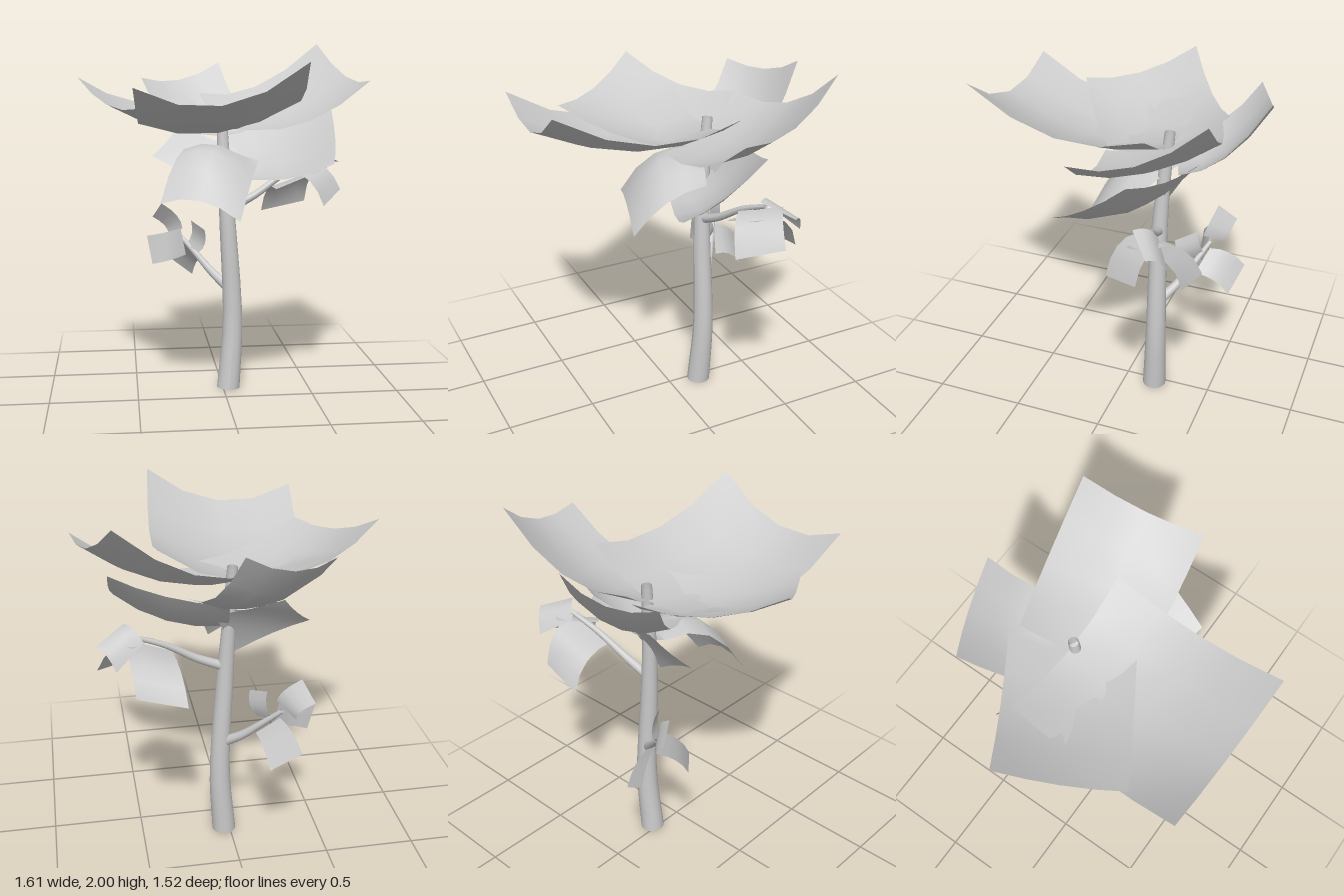
import * as THREE from 'three';

const plantMat = new THREE.MeshStandardMaterial({ color: 0xcccccc, side: THREE.DoubleSide });
const vec = (p) => new THREE.Vector3(...p);

// Tapered limb: an open cylinder bent along a smooth path
function limb(name, points, r0, r1) {
  const curve = new THREE.CatmullRomCurve3(points.map(vec));
  const geo = new THREE.CylinderGeometry(1, 1, 1, 16, 14, true);
  const pos = geo.attributes.position;
  const up = new THREE.Vector3(0, 1, 0);
  const turn = new THREE.Quaternion();
  const v = new THREE.Vector3();
  for (let i = 0; i < pos.count; i++) {
    const t = THREE.MathUtils.clamp(pos.getY(i) + 0.5, 0, 1);
    turn.setFromUnitVectors(up, curve.getTangent(t));
    v.set(pos.getX(i), 0, pos.getZ(i)).multiplyScalar(THREE.MathUtils.lerp(r0, r1, t));
    v.applyQuaternion(turn).add(curve.getPoint(t));
    pos.setXYZ(i, v.x, Math.max(v.y, 0), v.z);
  }
  geo.computeVertexNormals();
  const mesh = new THREE.Mesh(geo, plantMat);
  mesh.name = name;
  return mesh;
}

// Quadratic weights through the values at t = 0, 0.5 and 1
const weights = (t) => [(1 - t) * (1 - 2 * t), 4 * t * (1 - t), t * (2 * t - 1)];

// Curved leaf sheet through three cross-sections (root, middle, tip) of three points
function leaf(name, rows, seg = 4) {
  const geo = new THREE.PlaneGeometry(1, 1, seg, seg);
  const { position: pos, uv } = geo.attributes;
  const v = new THREE.Vector3();
  for (let i = 0; i < pos.count; i++) {
    const a = weights(uv.getX(i));
    const b = weights(uv.getY(i));
    v.set(0, 0, 0);
    rows.forEach((row, r) => row.forEach((p, c) => v.addScaledVector(vec(p), b[r] * a[c])));
    pos.setXYZ(i, v.x, v.y, v.z);
  }
  geo.computeVertexNormals();
  const mesh = new THREE.Mesh(geo, plantMat);
  mesh.name = name;
  return mesh;
}

// Small leaf from its four corners, arched along its length by a bow vector
function smallLeaf(name, rootA, rootB, tipA, tipB, bow) {
  const mid = (p, q) => p.map((n, i) => (n + q[i]) / 2);
  const arch = (p) => p.map((n, i) => n + bow[i]);
  const rootM = mid(rootA, rootB);
  const tipM = mid(tipA, tipB);
  return leaf(name, [
    [rootA, rootM, rootB],
    [arch(mid(rootA, tipA)), arch(mid(rootM, tipM)), arch(mid(rootB, tipB))],
    [tipA, tipM, tipB],
  ]);
}

export function createModel() {
  const plant = new THREE.Group();
  plant.name = 'plant';

  // Stem and the two side twigs
  plant.add(
    limb('stem', [[0.032, 0, -0.177], [0.058, 0.4, -0.19], [0.03, 0.95, -0.187], [0.01, 1.3, -0.2], [-0.004, 1.64, -0.228]], 0.067, 0.028),
    limb('upperTwig', [[0.03, 1.06, -0.19], [0.18, 1.13, -0.21], [0.35, 1.24, -0.25], [0.52, 1.32, -0.29]], 0.027, 0.012),
    limb('lowerTwig', [[0.03, 0.6, -0.2], [-0.05, 0.67, -0.27], [-0.14, 0.77, -0.34], [-0.24, 0.88, -0.41]], 0.03, 0.012),
  );

  // Crown of four large cupped leaves around the stem top
  const crown = new THREE.Group();
  crown.name = 'crownLeaves';
  crown.add(
    leaf('frontLeaf', [
      [[-0.465, 1.67, -0.26], [-0.04, 1.565, -0.24], [0.375, 1.75, -0.22]],
      [[-0.485, 1.575, 0.24], [-0.07, 1.525, 0.25], [0.365, 1.69, 0.26]],
      [[-0.52, 1.77, 0.72], [-0.1, 1.685, 0.735], [0.315, 1.89, 0.76]],
    ]),
    leaf('rightLeaf', [
      [[-0.17, 1.7, -0.5], [-0.01, 1.53, -0.22], [0.15, 1.57, 0.055]],
      [[-0.49, 1.67, -0.31], [-0.33, 1.54, -0.03], [-0.165, 1.57, 0.25]],
      [[-0.805, 1.81, -0.115], [-0.645, 1.67, 0.165], [-0.485, 1.66, 0.44]],
    ]),
    leaf('leftLeaf', [
      [[0.1, 1.53, 0.09], [-0.01, 1.55, -0.2], [-0.11, 1.71, -0.475]],
      [[0.45, 1.57, 0.05], [0.37, 1.6, -0.26], [0.24, 1.745, -0.57]],
      [[0.8, 1.79, 0.01], [0.73, 1.81, -0.3], [0.62, 2, -0.605]],
    ]),
    leaf('backLeaf', [
      [[0.25, 1.54, -0.36], [0.01, 1.47, -0.28], [-0.23, 1.53, -0.2]],
      [[0.14, 1.62, -0.56], [-0.1, 1.53, -0.5], [-0.335, 1.59, -0.41]],
      [[0.035, 1.89, -0.76], [-0.21, 1.785, -0.705], [-0.445, 1.8, -0.595]],
    ]),
  );
  plant.add(crown);

  // Three drooping leaves below the crown
  const skirt = new THREE.Group();
  skirt.name = 'middleLeaves';
  skirt.add(
    leaf('middleFrontLeaf', [
      [[-0.17, 1.4, -0.27], [0.01, 1.39, -0.2], [0.2, 1.34, -0.12]],
      [[-0.27, 1.37, -0.04], [-0.07, 1.41, 0.02], [0.13, 1.25, 0.08]],
      [[-0.37, 1.14, 0.13], [-0.16, 1.16, 0.19], [0.05, 1.05, 0.24]],
    ]),
    leaf('middleLeftLeaf', [
      [[-0.02, 1.27, 0], [0.01, 1.3, -0.2], [0.04, 1.5, -0.4]],
      [[0.3, 1.26, 0.12], [0.33, 1.32, -0.12], [0.35, 1.54, -0.32]],
      [[0.56, 1.35, 0.2], [0.61, 1.46, 0], [0.63, 1.63, -0.22]],
    ]),
    leaf('middleBackLeaf', [
      [[0.1, 1.4, -0.27], [0.035, 1.27, -0.21], [-0.03, 1.13, -0.16]],
      [[-0.08, 1.46, -0.36], [-0.15, 1.37, -0.3], [-0.22, 1.26, -0.24]],
      [[-0.23, 1.53, -0.44], [-0.31, 1.43, -0.38], [-0.395, 1.355, -0.32]],
    ]),
  );
  plant.add(skirt);

  // Small arched leaves at the twig ends
  const twigLeaves = new THREE.Group();
  twigLeaves.name = 'twigLeaves';
  [
    ['upperTwigBackLeaf', [0.31, 1.17, -0.18], [0.57, 1.27, -0.2], [0.27, 1, -0.51], [0.53, 1.06, -0.48], [0, 0.06, -0.05]],
    ['upperTwigFrontLeaf', [0.4, 1.26, -0.2], [0.53, 1.3, -0.39], [0.57, 1.08, -0.09], [0.71, 1.15, -0.3], [0.01, 0.05, 0.02]],
    ['upperTwigEndLeaf', [0.47, 1.3, -0.33], [0.62, 1.2, -0.44], [0.56, 1.37, -0.23], [0.71, 1.31, -0.35], [0, 0.03, -0.01]],
    ['lowerTwigFrontLeaf', [-0.23, 0.92, -0.38], [-0.2, 0.76, -0.38], [-0.43, 0.88, -0.37], [-0.4, 0.715, -0.34], [0, 0, 0.03]],
    ['lowerTwigTopLeaf', [-0.22, 0.92, -0.37], [-0.3, 0.86, -0.48], [-0.34, 1.065, -0.42], [-0.39, 0.97, -0.52], [0.03, 0, 0]],
    ['lowerTwigBackLeaf', [-0.11, 0.73, -0.36], [-0.23, 0.84, -0.41], [-0.15, 0.605, -0.55], [-0.31, 0.72, -0.6], [0, 0.03, -0.01]],
    ['lowerTwigInnerLeaf', [-0.13, 0.79, -0.28], [-0.2, 0.82, -0.39], [-0.1, 0.93, -0.24], [-0.17, 0.97, -0.35], [0.02, -0.01, 0]],
  ].forEach((spec) => twigLeaves.add(smallLeaf(...spec)));
  plant.add(twigLeaves);

  return plant;
}
